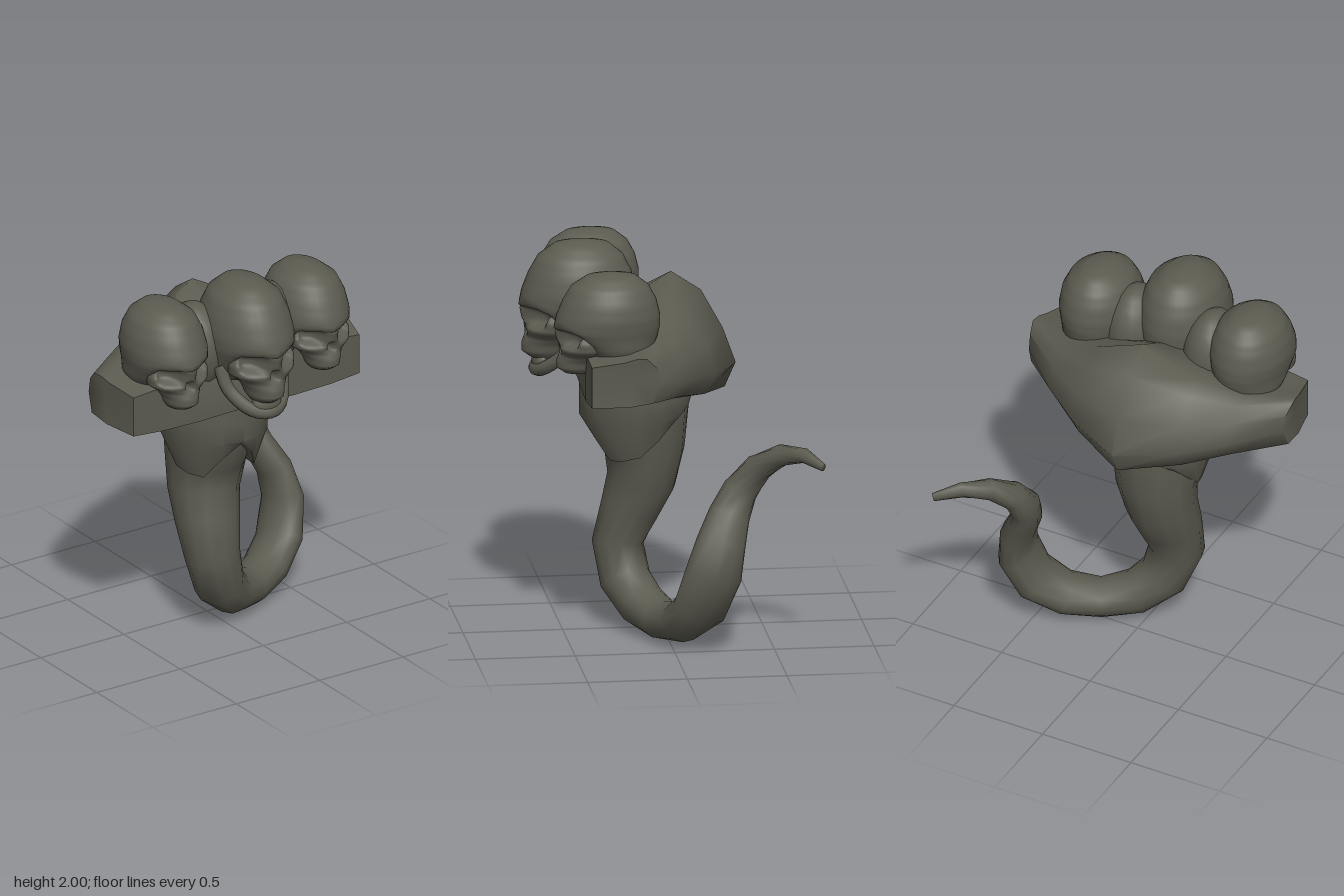
import * as THREE from 'three';
import { toCreasedNormals } from 'three/addons/utils/BufferGeometryUtils.js';

const stone = new THREE.MeshStandardMaterial({ color: 0x5c5b50 });
stone.name = 'dark stone';
const V = (x, y, z) => new THREE.Vector3(x, y, z);
const MID = -0.055; // symmetry plane of the upper body

// Closed skin over a list of rings, capped at both ends and facing outward
function loft(rings, crease) {
  const n = rings[0].length, pts = rings.flat(), idx = [];
  const quad = (a, b, c, d) => idx.push(a, b, c, a, c, d);
  for (let i = 0; i < rings.length - 1; i++) {
    for (let j = 0; j < n; j++) {
      const k = (j + 1) % n;
      quad(i * n + j, i * n + k, (i + 1) * n + k, (i + 1) * n + j);
    }
  }
  for (const end of [0, rings.length - 1]) {
    const c = pts.length;
    pts.push(rings[end].reduce((s, p) => s.add(p), V(0, 0, 0)).divideScalar(n));
    for (let j = 0; j < n; j++) {
      const a = end * n + j, b = end * n + (j + 1) % n;
      if (end === 0) idx.push(c, b, a); else idx.push(c, a, b);
    }
  }
  let volume = 0;
  for (let i = 0; i < idx.length; i += 3) {
    volume += pts[idx[i]].dot(V(0, 0, 0).crossVectors(pts[idx[i + 1]], pts[idx[i + 2]]));
  }
  if (volume < 0) idx.reverse();
  const g = new THREE.BufferGeometry().setFromPoints(pts);
  g.setIndex(idx);
  g.computeVertexNormals();
  return crease ? toCreasedNormals(g, crease) : g;
}

function add(parent, name, geometry) {
  const m = new THREE.Mesh(geometry, stone);
  m.name = name;
  parent.add(m);
  return m;
}

// Rounded lump: a sphere stretched to the given radii
function lump(parent, name, pos, radii) {
  const m = add(parent, name, new THREE.SphereGeometry(1, 16, 12));
  m.position.set(...pos);
  m.scale.set(...radii);
}

// Serpent body: [x, y, z, radius in the front plane, radius in depth]
function serpentTail() {
  const path = [
    [-0.055, 1.35, 0.14, 0.25, 0.25], [-0.06, 1.12, 0.12, 0.235, 0.265], [-0.065, 0.9, 0.08, 0.205, 0.2],
    [-0.085, 0.75, 0.095, 0.185, 0.175], [-0.1, 0.6, 0.15, 0.17, 0.15], [-0.11, 0.42, 0.21, 0.143, 0.13],
    [-0.05, 0.24, 0.18, 0.128, 0.13], [0.065, 0.14, 0.11, 0.115, 0.12], [0.22, 0.1, 0.03, 0.097, 0.115],
    [0.38, 0.125, -0.05, 0.1, 0.125], [0.515, 0.23, -0.125, 0.093, 0.143], [0.577, 0.42, -0.185, 0.087, 0.145],
    [0.55, 0.57, -0.225, 0.082, 0.125], [0.485, 0.7, -0.275, 0.075, 0.105], [0.452, 0.82, -0.335, 0.07, 0.09],
    [0.475, 0.94, -0.425, 0.065, 0.075], [0.555, 1.02, -0.53, 0.055, 0.055], [0.66, 1.043, -0.63, 0.038, 0.036],
    [0.775, 1.01, -0.71, 0.022, 0.015],
  ];
  const c = path.map(p => V(p[0], p[1], p[2]));
  return loft(path.map((p, i) => {
    const t = c[Math.min(i + 1, c.length - 1)].clone().sub(c[Math.max(i - 1, 0)]).normalize();
    const b = V(0, 0, 1).addScaledVector(t, -t.z).normalize();
    const s = V(0, 0, 0).crossVectors(b, t);
    return Array.from({ length: 12 }, (_, j) => {
      const a = j / 12 * Math.PI * 2;
      return c[i].clone().addScaledVector(s, p[3] * Math.cos(a)).addScaledVector(b, p[4] * Math.sin(a));
    });
  }));
}

// Chest shell with a pointed hem that rises at the front and back
function chestShell() {
  const hemY = [1.08, 1.0, 0.89, 0.9, 0.92, 1.0, 1.1, 1.15, 1.17];
  const n = 16;
  const ring = f => Array.from({ length: n }, (_, j) => {
    const a = j / n * Math.PI * 2, [w, d, y] = f(hemY[Math.min(j, n - j)]);
    return V(MID + w * Math.sin(a), y, 0.13 + d * Math.cos(a));
  });
  return loft([
    ring(() => [0.285, 0.28, 1.34]),
    ring(() => [0.285, 0.28, 1.2]),
    ring(h => [0.275, 0.28, Math.max(1.1, h + 0.02)]),
    ring(h => { const k = (1.15 - h) * 0.2; return [0.265 - k, 0.275 - k * 1.4, h]; }),
  ], 0.9);
}

// Shoulder slab and back hump: sections of [z, y] at distances from the middle
function shoulders() {
  const half = [
    [0, [[.42, 1.29], [.42, 1.55], [.1, 1.73], [-.05, 1.82], [-.2, 1.72], [-.31, 1.52], [-.375, 1.34], [-.32, 1.215], [-.12, 1.22]]],
    [.29, [[.43, 1.29], [.43, 1.55], [.12, 1.64], [0, 1.67], [-.1, 1.63], [-.2, 1.5], [-.24, 1.36], [-.18, 1.26], [0, 1.25]]],
    [.5, [[.44, 1.3], [.44, 1.54], [.2, 1.57], [.1, 1.59], [0, 1.58], [-.06, 1.5], [-.1, 1.4], [-.04, 1.31], [.1, 1.29]]],
    [.735, [[.43, 1.31], [.43, 1.52], [.27, 1.55], [.21, 1.57], [.16, 1.57], [.11, 1.52], [.09, 1.44], [.13, 1.34], [.25, 1.32]]],
  ];
  const section = side => ([u, pts]) => pts.map(([z, y]) =>
    V(MID + side * (u > 0.7 ? u - 0.22 * Math.abs(z - 0.17) : u), y, z));
  return loft([...half.slice(1).reverse().map(section(-1)), ...half.map(section(1))], 1.1);
}

// Smooth stack of oval rings from rows of [y, half width, front z, back z]
function ovalStack(rows, count, dent) {
  const at = t => {
    const s = t * (rows.length - 1), i = Math.min(Math.floor(s), rows.length - 2);
    return rows[i].map((v, k) => THREE.MathUtils.lerp(v, rows[i + 1][k], s - i));
  };
  return loft(Array.from({ length: count }, (_, i) => {
    const [y, w, zf, zb] = at(i / (count - 1));
    return Array.from({ length: 36 }, (_, j) => {
      const a = j / 36 * Math.PI * 2;
      const p = V(w * Math.sin(a), y, (zf + zb) / 2 + (zf - zb) / 2 * Math.cos(a));
      if (Math.cos(a) > 0) p.z -= dent(p.x, p.y);
      return p;
    });
  }));
}

// Skull with its crown at the local origin height
function skull(name, hasJaw) {
  const g = new THREE.Group();
  g.name = name;
  // Hollow eye sockets and nose, pressed into both the cranium and the face
  const pit = (x, y, cx, cy, rx, ry, depth) =>
    depth * Math.exp(-(((x - cx) / rx) ** 4) - ((y - cy) / ry) ** 4);
  const dent = (x, y) => pit(Math.abs(x), y, .1, -.37, .055, .045, .09) + pit(x, y, 0, -.44, .025, .03, .05);
  add(g, 'cranium', ovalStack([
    [0, .03, .45, .34], [-.02, .1, .53, .25], [-.08, .17, .61, .18], [-.16, .205, .655, .14], [-.25, .22, .69, .12],
    [-.32, .215, .705, .12], [-.37, .205, .67, .13], [-.44, .195, .58, .15], [-.52, .16, .48, .2],
  ], 25, dent));
  add(g, 'face', ovalStack([
    [-.29, .13, .68, .4], [-.34, .16, .7, .4], [-.39, .18, .69, .4], [-.44, .175, .68, .4], [-.48, .125, .675, .4],
    [-.52, .1, .69, .42], [-.56, .09, .69, .45], [-.59, .07, .65, .48],
  ], 29, dent));
  if (hasJaw) {
    const curve = new THREE.CatmullRomCurve3([
      V(-.18, -.42, .44), V(-.16, -.54, .49), V(-.085, -.635, .59), V(0, -.655, .62),
      V(.085, -.635, .59), V(.16, -.54, .49), V(.18, -.42, .44)]);
    add(g, 'jaw', new THREE.TubeGeometry(curve, 24, 0.035, 8));
    lump(g, 'chin', [0, -.62, .59], [.085, .07, .05]);
  }
  return g;
}

export function createModel() {
  const model = new THREE.Group();
  model.name = 'threeSkullSerpent';
  add(model, 'serpentTail', serpentTail());
  add(model, 'chestShell', chestShell());
  add(model, 'shoulders', shoulders());

  const middle = skull('middleSkull', true);
  middle.position.set(MID + 0.005, 2, 0.01);
  model.add(middle);
  for (const side of [-1, 1]) {
    const s = skull(side < 0 ? 'rightSkull' : 'leftSkull', false);
    s.scale.set(0.92, 0.85, 0.91);
    s.position.set(MID + side * 0.425, 1.94, -0.05);
    model.add(s);
    // Flesh joining neighbouring skulls
    lump(model, side < 0 ? 'rightNeckWeb' : 'leftNeckWeb', [MID + side * 0.22, 1.64, 0.29], [0.15, 0.235, 0.18]);
  }
  return model;
}
